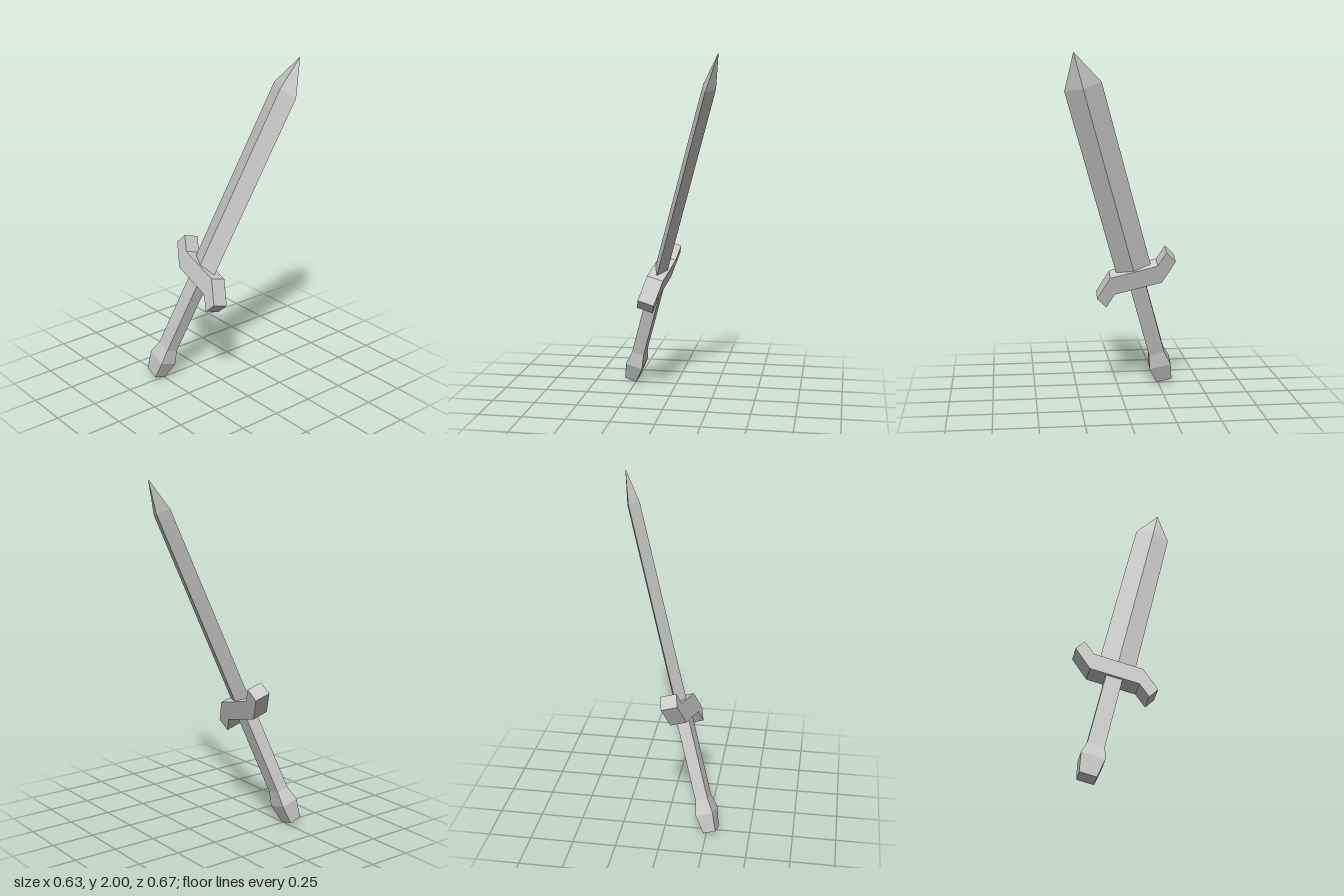
import * as THREE from 'three';

const material = new THREE.MeshStandardMaterial({ color: 0xcccccc, flatShading: true });

function addPart(group, name, geometry) {
  const mesh = new THREE.Mesh(geometry, material);
  mesh.name = name;
  group.add(mesh);
}

// Four-sided solid from [radius, height] points, flattened across x
function fourSided(profile, turn, flatten) {
  const points = profile.map(([r, y]) => new THREE.Vector2(r, y));
  return new THREE.LatheGeometry(points, 4, turn).scale(flatten, 1, 1);
}

// Rectangular solid: profile gives half depths along z
function squared(profile) {
  return fourSided(profile.map(([d, y]) => [d * Math.SQRT2, y]), Math.PI / 4, 0.78);
}

export function createModel() {
  const sword = new THREE.Group();
  sword.name = 'sword';

  // Diamond-section blade running to a point
  addPart(sword, 'blade', fourSided([[0, -0.04], [0.104, -0.04], [0.104, 1.17], [0, 1.37]], 0, 0.36));

  // Crossguard: straight bar with one end bent down and the other up
  const half = [[-0.142, -0.056], [0.142, -0.056], [0.211, -0.126], [0.25, -0.056]];
  const outline = [...half, ...half.map(([s, t]) => [-s, -t])];
  const shape = new THREE.Shape(outline.map(([s, t]) => new THREE.Vector2(s, t - 0.036)));
  const guard = new THREE.ExtrudeGeometry(shape, { depth: 0.097, bevelEnabled: false });
  addPart(sword, 'crossguard', guard.translate(0, 0, -0.0485).rotateY(-Math.PI / 2));

  // Grip and flared pommel
  addPart(sword, 'grip', squared([[0.047, -0.57], [0.047, -0.05], [0, -0.05]]));
  addPart(sword, 'pommel', squared([[0, -0.769], [0.047, -0.769], [0.066, -0.655], [0.047, -0.57]]));

  // Lean the sword: its length along "up", its cutting edges along "edge"
  const up = new THREE.Vector3(0.2745, 0.9226, 0.2706).normalize();
  const side = up.clone().cross(new THREE.Vector3(-0.104, -0.251, 0.963)).normalize();
  const edge = side.clone().cross(up);
  sword.quaternion.setFromRotationMatrix(new THREE.Matrix4().makeBasis(side, up, edge));
  sword.position.set(-0.066, 0.736, -0.081);

  const model = new THREE.Group();
  model.add(sword);
  return model;
}
